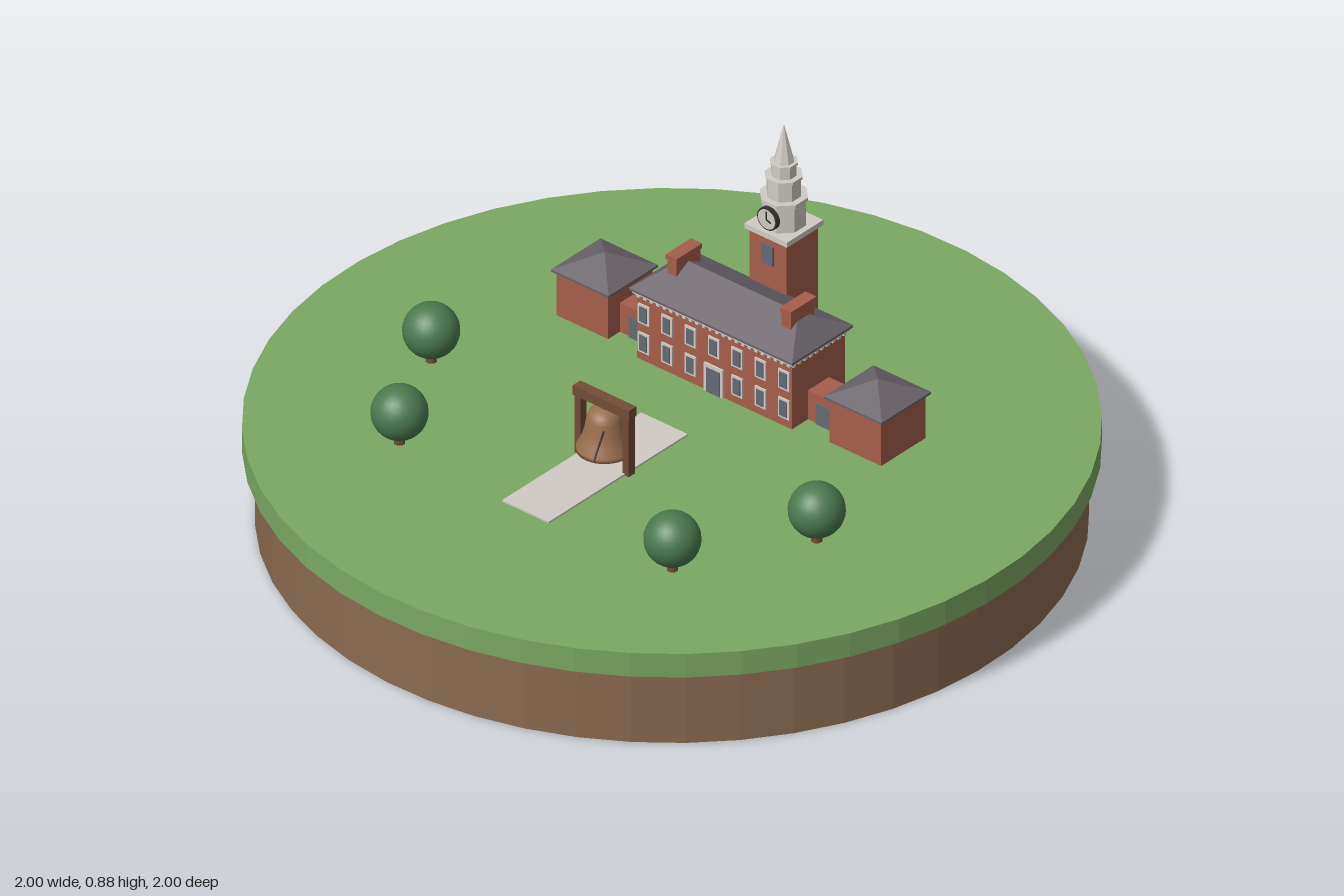
import * as THREE from 'three';
import { ConvexGeometry } from 'three/addons/geometries/ConvexGeometry.js';

const mat = (name, color) => {
  const m = new THREE.MeshStandardMaterial({ color });
  m.name = name;
  return m;
};

export function createModel() {
  const grass = mat('grass green', 0x7aa862);
  const soil = mat('soil brown', 0x8a6a50);
  const brick = mat('brick red', 0xa65e4a);
  const slate = mat('slate grey', 0x69626a);
  const stone = mat('pale stone', 0xd0ccc4);
  const glass = mat('window grey', 0x626a74);
  const leaf = mat('leaf green', 0x4a7a4e);
  const bronze = mat('bronze', 0x9a6e4c);
  const wood = mat('dark wood', 0x744c36);
  const dark = mat('near black', 0x35302e);

  const G = 0.265; // lawn level
  const root = new THREE.Group();
  root.name = 'campusDiorama';

  function add(parent, name, geo, m, x = 0, y = 0, z = 0) {
    const mesh = new THREE.Mesh(geo, m);
    mesh.name = name;
    mesh.position.set(x, y, z);
    parent.add(mesh);
    return mesh;
  }
  // box given by its bottom and top heights
  const box = (parent, name, m, w, d, y0, y1, x = 0, z = 0) =>
    add(parent, name, new THREE.BoxGeometry(w, y1 - y0, d), m, x, (y0 + y1) / 2, z);
  // faceted prism or frustum, turned so that one face looks along +z
  function prism(parent, name, m, r0, r1, y0, y1, sides, x = 0, z = 0) {
    const geo = new THREE.CylinderGeometry(r1, r0, y1 - y0, sides).toNonIndexed();
    geo.computeVertexNormals();
    if (sides < 20) geo.rotateY(Math.PI / sides);
    return add(parent, name, geo, m, x, (y0 + y1) / 2, z);
  }
  // hipped roof with a thin eave; ridge = half length of the ridge
  function hipRoof(parent, name, w, d, y0, y1, ridge, x = 0) {
    const pts = [];
    for (const sx of [-1, 1]) {
      for (const sz of [-1, 1])
        for (const y of [y0, y0 + 0.006]) pts.push(new THREE.Vector3(sx * w / 2, y, sz * d / 2));
      if (ridge > 0 || sx > 0) pts.push(new THREE.Vector3(sx * ridge, y1, 0));
    }
    return add(parent, name, new ConvexGeometry(pts), slate, x, 0, 0);
  }

  // Round base
  prism(root, 'soilBase', soil, 0.97, 0.97, 0, 0.2, 48);
  prism(root, 'lawn', grass, 1, 1, 0.2, G, 48);

  // Trees
  for (const [x, z] of [[-0.615, -0.045], [-0.56, 0.31], [0.225, 0.595], [0.495, 0.36]]) {
    const tree = new THREE.Group();
    tree.name = 'tree';
    tree.position.set(x, 0, z);
    root.add(tree);
    add(tree, 'trunk', new THREE.CylinderGeometry(0.012, 0.014, 0.06, 8), wood, 0, G + 0.03, 0);
    add(tree, 'crown', new THREE.SphereGeometry(0.068, 24, 16), leaf, 0, 0.35, 0);
  }

  // Everything built shares one turned axis
  const site = new THREE.Group();
  site.name = 'site';
  site.position.set(0.083, 0, -0.235);
  site.rotation.y = -0.349;
  root.add(site);

  // Main hall
  const hall = new THREE.Group();
  hall.name = 'hall';
  site.add(hall);
  box(hall, 'hallWalls', brick, 0.474, 0.19, G, 0.44);
  box(hall, 'cornice', stone, 0.49, 0.206, 0.445, 0.455);
  for (const s of [-1, 1]) {
    for (let i = 0; i < 24; i++)
      box(hall, 'dentil', stone, 0.009, 0.006, 0.436, 0.447, -0.23 + i * 0.02, s * 0.097);
    for (let i = 0; i < 10; i++)
      box(hall, 'dentil', stone, 0.006, 0.009, 0.436, 0.447, s * 0.239, -0.09 + i * 0.02);
  }
  box(hall, 'frieze', brick, 0.474, 0.19, 0.44, 0.446);
  hipRoof(hall, 'hallRoof', 0.5, 0.218, 0.453, 0.517, 0.175);

  // Front windows and door
  function windowAt(x, y0, y1, z) {
    box(hall, 'windowFrame', stone, 0.034, 0.006, y0, y1, x, z);
    box(hall, 'windowPane', glass, 0.022, 0.004, y0 + 0.006, y1 - 0.006, x, z + 0.003);
  }
  for (let i = -3; i <= 3; i++) {
    windowAt(i * 0.0715, 0.367, 0.42, 0.096);
    if (i !== 0) windowAt(i * 0.0715, 0.288, 0.342, 0.096);
  }
  box(hall, 'doorFrame', stone, 0.058, 0.008, G, 0.342, 0, 0.096);
  box(hall, 'door', glass, 0.042, 0.005, G, 0.332, 0, 0.0985);

  // Chimneys, links and side wings
  for (const s of [-1, 1]) {
    box(hall, 'chimney', brick, 0.028, 0.085, 0.45, 0.535, s * 0.175);
    box(hall, 'chimneyCap', brick, 0.034, 0.091, 0.532, 0.545, s * 0.175);
    box(hall, 'link', brick, 0.12, 0.075, G, 0.345, s * 0.285);
    box(hall, 'linkDoor', glass, 0.045, 0.006, G, 0.322, s * 0.286, 0.039);
    box(hall, 'wingWalls', brick, 0.158, 0.158, G, 0.388, s * 0.418);
    hipRoof(hall, 'wingRoof', 0.176, 0.176, 0.386, 0.434, 0, s * 0.418);
  }

  // Clock tower behind the hall
  const tower = new THREE.Group();
  tower.name = 'clockTower';
  tower.position.z = -0.153;
  site.add(tower);
  box(tower, 'towerShaft', brick, 0.113, 0.113, G, 0.607);
  box(tower, 'towerCornice', stone, 0.13, 0.13, 0.605, 0.619);
  box(tower, 'towerWindow', glass, 0.036, 0.006, 0.53, 0.583, 0, 0.058);
  const tiers = [
    [0.054, 0.054, 0.619, 0.688], [0.059, 0.059, 0.688, 0.697],
    [0.042, 0.042, 0.697, 0.745], [0.046, 0.046, 0.745, 0.752],
    [0.031, 0.031, 0.752, 0.782], [0.034, 0.034, 0.782, 0.788],
    [0.025, 0.001, 0.788, 0.885]];
  for (const [r0, r1, y0, y1] of tiers) prism(tower, 'steepleTier', stone, r0, r1, y0, y1, 8);
  const disc = (name, m, r, t, z) =>
    add(tower, name, new THREE.CylinderGeometry(r, r, t, 24).rotateX(Math.PI / 2), m, 0, 0.655, z);
  disc('clockRim', dark, 0.03, 0.012, 0.055);
  disc('clockFace', stone, 0.026, 0.004, 0.0605);
  for (const [len, a] of [[0.022, 0.0], [0.015, -1.9]]) {
    const hand = new THREE.BoxGeometry(0.004, len, 0.002).translate(0, len / 2, 0).rotateZ(a);
    add(tower, 'clockHand', hand, dark, 0, 0.655, 0.063);
  }

  // Paved walk
  box(site, 'walk', stone, 0.143, 0.495, G - 0.002, 0.27, 0, 0.521);

  // Hanging bell in a timber frame
  const bell = new THREE.Group();
  bell.name = 'bellStand';
  bell.position.z = 0.487;
  site.add(bell);
  for (const s of [-1, 1]) box(bell, 'post', wood, 0.018, 0.022, G, 0.43, s * 0.074);
  box(bell, 'yoke', wood, 0.172, 0.027, 0.424, 0.45);
  const profile = [[0.06, 0.308], [0.068, 0.305], [0.067, 0.315], [0.056, 0.335], [0.048, 0.36],
    [0.043, 0.39], [0.037, 0.408], [0.024, 0.418], [0, 0.422]];
  const bellMat = bronze;
  add(bell, 'bellBody', new THREE.LatheGeometry(
    profile.map(p => new THREE.Vector2(p[0], p[1])), 32), bellMat);
  add(bell, 'bellUnderside', new THREE.CircleGeometry(0.062, 32).rotateX(Math.PI / 2), dark, 0, 0.308, 0);
  add(bell, 'bellCrown', new THREE.CylinderGeometry(0.012, 0.014, 0.02, 12), bronze, 0, 0.424, 0);
  add(bell, 'clapper', new THREE.SphereGeometry(0.012, 12, 8), dark, 0, 0.304, 0);

  // Crack running up the flank of the bell
  const crack = [[0.35, 0.0685, 0.31], [0.42, 0.057, 0.335], [0.55, 0.049, 0.36], [0.68, 0.045, 0.382]]
    .map(([a, r, y]) => new THREE.Vector3(Math.sin(a) * r, y, Math.cos(a) * r));
  add(bell, 'crack', new THREE.TubeGeometry(new THREE.CatmullRomCurve3(crack), 12, 0.0025, 5), dark);

  return root;
}
